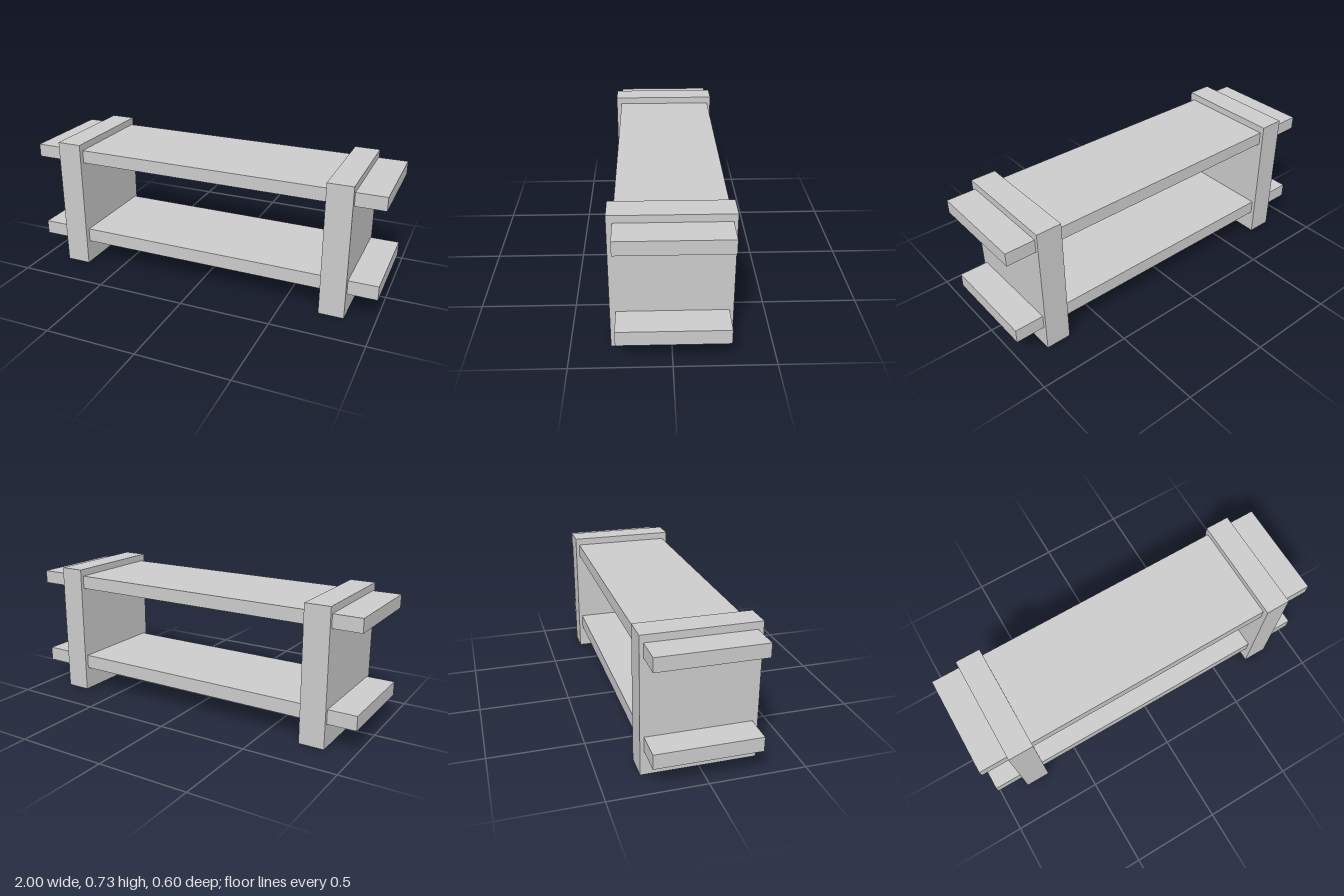
import * as THREE from 'three';

export function createModel() {
  const group = new THREE.Group();
  const material = new THREE.MeshStandardMaterial({ color: 0xcccccc, flatShading: true });

  // Box given by its lower and upper limits on each axis
  function addBoard(name, [x0, x1], [y0, y1], [z0, z1]) {
    const board = new THREE.Mesh(new THREE.BoxGeometry(x1 - x0, y1 - y0, z1 - z0), material);
    board.name = name;
    board.position.set((x0 + x1) / 2, (y0 + y1) / 2, (z0 + z1) / 2);
    group.add(board);
  }

  // Slab uprights near each end
  addBoard('rightUpright', [-0.845, -0.707], [0.003, 0.737], [-0.297, 0.3]);
  addBoard('leftUpright', [0.704, 0.841], [0.003, 0.737], [-0.297, 0.3]);

  // Long shelves that pass through the uprights
  addBoard('lowerShelf', [-1, 1], [0.134, 0.212], [-0.277, 0.271]);
  addBoard('upperShelf', [-1, 1], [0.625, 0.698], [-0.277, 0.271]);

  return group;
}
